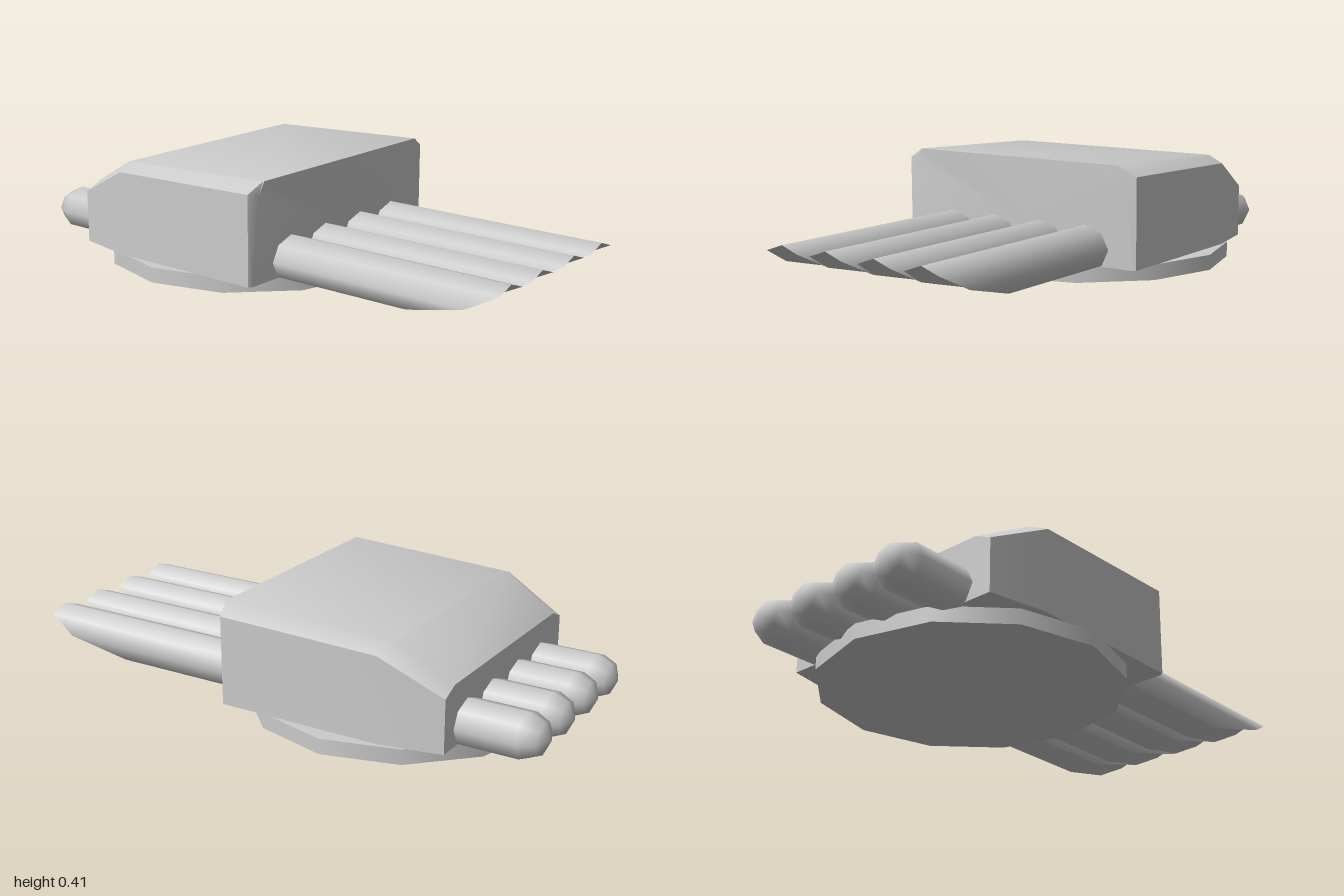
import * as THREE from 'three';
import { toCreasedNormals } from 'three/addons/utils/BufferGeometryUtils.js';

// Skin a series of rings (front to back, counter-clockwise seen from +z).
// A ring whose points coincide closes the end.
function loft(rings, crease) {
  const pos = [];
  const tri = (a, b, c) => {
    if (a.distanceTo(b) < 1e-6 || b.distanceTo(c) < 1e-6 || a.distanceTo(c) < 1e-6) return;
    for (const p of [a, b, c]) pos.push(p.x, p.y, p.z);
  };
  for (let i = 0; i < rings.length - 1; i++) {
    const n = rings[i].length;
    for (let j = 0; j < n; j++) {
      const k = (j + 1) % n;
      const a = rings[i][j], b = rings[i][k], c = rings[i + 1][k], d = rings[i + 1][j];
      tri(a, d, b);
      tri(b, d, c);
    }
  }
  const geo = new THREE.BufferGeometry();
  geo.setAttribute('position', new THREE.Float32BufferAttribute(pos, 3));
  return toCreasedNormals(geo, crease);
}

const point = (n, y, z) => Array.from({ length: n }, () => new THREE.Vector3(0, y, z));

// Chamfered housing section: half widths, heights and depths of base, shoulder and top
function section(base, shoulder, top) {
  const right = [base, shoulder, top].map(([w, y, z]) => new THREE.Vector3(w, y, z));
  const left = right.map(p => new THREE.Vector3(-p.x, p.y, p.z)).reverse();
  return [...right, ...left];
}

function housingGeometry() {
  return loft([
    point(6, 0.2, 0.132),
    section([0.475, 0.06, 0.128], [0.452, 0.37, 0.137], [0.427, 0.415, 0.14]),
    section([0.49, 0.06, 0.12], [0.49, 0.378, 0.122], [0.427, 0.415, 0.136]),
    section([0.49, 0.06, -0.49], [0.49, 0.363, -0.48], [0.425, 0.388, -0.5]),
    section([0.447, 0.06, -0.705], [0.447, 0.25, -0.705], [0.385, 0.278, -0.705]),
    point(6, 0.16, -0.705),
  ], 0.55);
}

// Eight-sided tube: slanted hollow tip in front, rounded end behind
function tubeGeometry() {
  const tipZ = [1, 1, 0.89, 0.66, 0.57]; // from top round to bottom
  const ring = (scale, zAt) => Array.from({ length: 8 }, (_, j) => {
    const a = j * Math.PI / 4 + Math.PI / 2;
    return new THREE.Vector3(
      0.094 * scale * Math.cos(a), 0.12 + 0.08 * scale * Math.sin(a), zAt(Math.min(j, 8 - j)));
  });
  return loft([
    point(8, 0.12, 0.73),
    ring(1, s => tipZ[s]),
    ring(1, () => -0.92),
    ring(0.7, () => -0.973),
    point(8, 0.12, -1),
  ], 1.0);
}

export function createModel() {
  const model = new THREE.Group();
  const material = new THREE.MeshStandardMaterial({ color: 0xcccccc });
  const add = (name, geometry, x, y, z) => {
    const mesh = new THREE.Mesh(geometry, material);
    mesh.name = name;
    mesh.position.set(x, y, z);
    model.add(mesh);
  };

  // Twelve-sided turntable
  add('base', new THREE.CylinderGeometry(0.534, 0.534, 0.055, 12), 0, 0.0275, -0.3);

  add('housing', housingGeometry(), -0.01, 0, 0);

  // Row of four tubes through the housing
  const tube = tubeGeometry();
  [-0.291, -0.104, 0.095, 0.281].forEach((x, i) => add('tube' + (i + 1), tube, x, 0, 0));

  return model;
}
